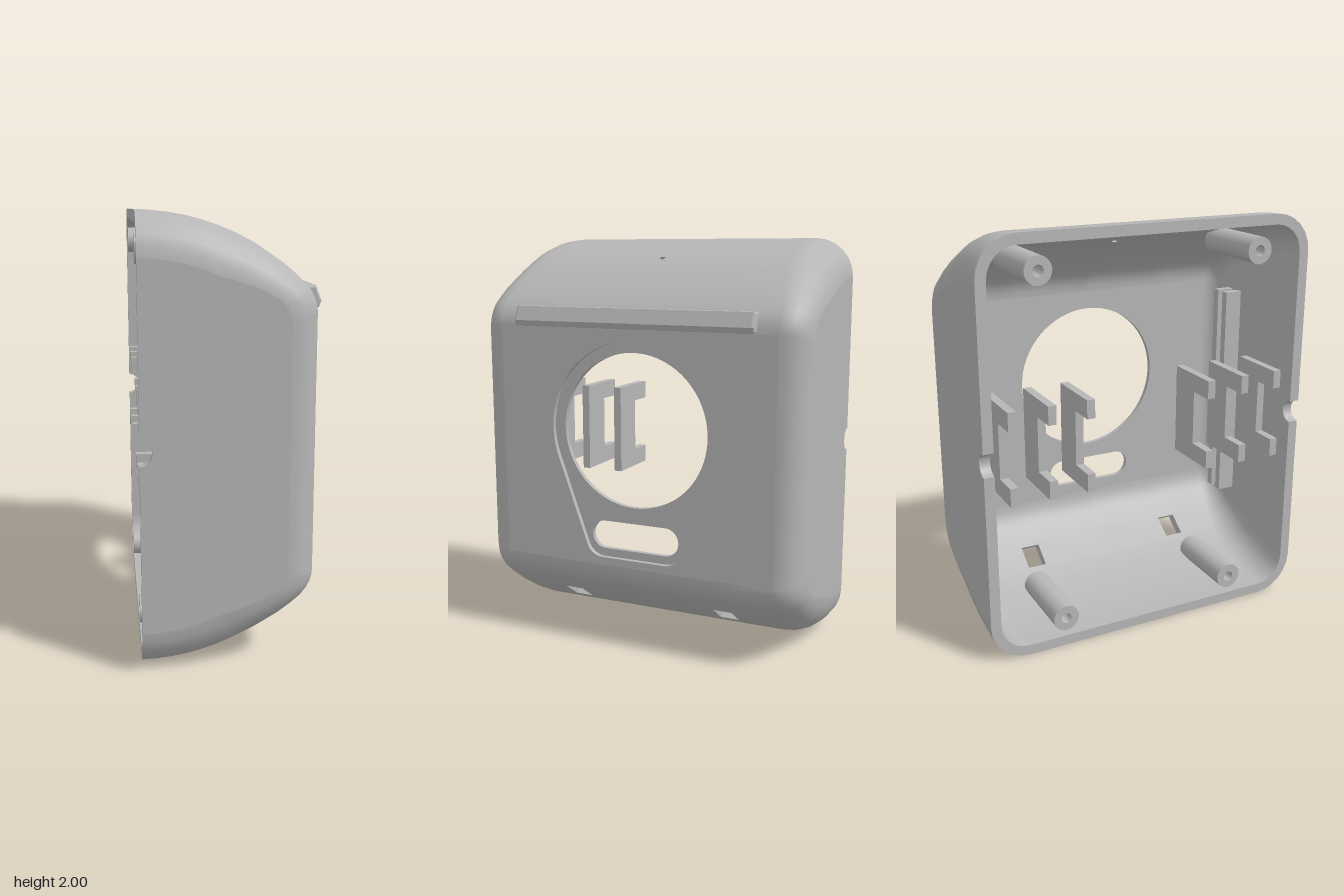
import * as THREE from 'three';
import { toCreasedNormals } from 'three/addons/utils/BufferGeometryUtils.js';

const WALL = 0.05, BACK = -0.41, FRONT = 0.36, HALF = 0.84, MID = 1;
const REACH = FRONT - BACK;

// Angles along the curved top and bottom; some rows line up with the openings
const ANGLES = [0, 0.07, 0.14, 0.21, 0.28, 0.35, 0.43, 0.459, 0.5, 0.546, 0.676, 0.745, 0.81];
const K = ANGLES.length, BEND = 4, ROWS = 2 * (K + BEND);
const FACE_ROW = K + BEND - 1, PIN_ROW = 6, VENT_ROW = ROWS - 1 - 10;

// Columns across the width: rounded edge, flat middle, rounded edge
const COLS = [];
for (let i = 6; i >= 0; i--) COLS.push({ side: -1, phi: i * Math.PI / 12 });
for (const z of [-0.46, -0.365, -0.014, 0.014, 0.365, 0.46]) COLS.push({ z, phi: 0 });
for (let i = 0; i <= 6; i++) COLS.push({ side: 1, phi: i * Math.PI / 12 });
const LAST = COLS.length - 1;

// Half of the outline, inset by d: arc, then a small bend into the flat face
function outline(k, d) {
  const rho = 1 - d, max = Math.asin((REACH - d) / rho), end = max - 0.07;
  const arc = a => [rho * Math.sin(a), rho * Math.cos(a)];
  if (k < K) return arc(ANGLES[k] / 0.81 * end);
  const s = (k - K + 1) / BEND, A = arc(end), C = arc(max), B = [C[0], C[1] - 0.06];
  return [0, 1].map(n => (1 - s) ** 2 * A[n] + 2 * s * (1 - s) * C[n] + s * s * B[n]);
}

// Point of the shell surface at row i, column j, at depth w below the outside
function point(i, j, w) {
  const top = i < ROWS / 2, k = top ? i : ROWS - 1 - i, c = COLS[j];
  const t = k < K ? ANGLES[k] / 0.81 : 1;
  const r = 0.19 - 0.06 * Math.max(0, (t - 0.6) / 0.4);
  const d = w + (r - w) * (1 - Math.cos(c.phi));
  const z = c.z ?? c.side * (HALF - r + (r - w) * Math.sin(c.phi));
  const [px, py] = outline(k, d);
  return [BACK + px, MID + (top ? py : -py), z];
}

const isVent = (i, j) => (i === PIN_ROW && j === 9) || (i === VENT_ROW && (j === 7 || j === 11));
const isOpen = (i, j) => isVent(i, j) || (i === FACE_ROW && j >= 6 && j <= 12);

function skin(w, inward) {
  const pos = [], index = [];
  for (let i = 0; i < ROWS; i++) for (let j = 0; j <= LAST; j++) pos.push(...point(i, j, w));
  for (let i = 0; i < ROWS - 1; i++) for (let j = 0; j < LAST; j++) {
    if (isOpen(i, j)) continue;
    const a = i * (LAST + 1) + j, b = a + 1, d = a + LAST + 1, c = d + 1;
    if (inward) index.push(a, c, b, a, d, c);
    else index.push(a, b, c, a, c, d);
  }
  const g = new THREE.BufferGeometry();
  g.setAttribute('position', new THREE.Float32BufferAttribute(pos, 3));
  g.setIndex(index);
  g.computeVertexNormals();
  return g;
}

// Rim at the open back and the walls inside the small openings
function edges() {
  const pos = [];
  const quad = (a, b, c, d) => pos.push(...a, ...b, ...c, ...a, ...c, ...d);
  for (let j = 0; j < LAST; j++) {
    const e = ROWS - 1;
    quad(point(0, j, 0), point(0, j, WALL), point(0, j + 1, WALL), point(0, j + 1, 0));
    quad(point(e, j, 0), point(e, j + 1, 0), point(e, j + 1, WALL), point(e, j, WALL));
  }
  for (let i = 0; i < ROWS - 1; i++) for (let j = 0; j < LAST; j++) {
    if (!isVent(i, j)) continue;
    const loop = [[i, j], [i, j + 1], [i + 1, j + 1], [i + 1, j]];
    loop.forEach((p, n) => {
      const q = loop[(n + 1) % 4];
      quad(point(...p, 0), point(...q, 0), point(...q, WALL), point(...p, WALL));
    });
  }
  const g = new THREE.BufferGeometry();
  g.setAttribute('position', new THREE.Float32BufferAttribute(pos, 3));
  g.computeVertexNormals();
  return g;
}

const polygon = pts => new THREE.Shape(pts.map(p => new THREE.Vector2(...p)));
const extrude = (shape, depth, extra = {}) =>
  new THREE.ExtrudeGeometry(shape, { depth, bevelEnabled: false, curveSegments: 40, ...extra });

// Flat face layer with cut-outs, its back at the given x
function faceLayer(holes, depth, x) {
  const y = 0.578, z = HALF - 0.13;
  const s = polygon([[-z, MID - y], [z, MID - y], [z, MID + y], [-z, MID + y]]);
  s.holes.push(...holes);
  return toCreasedNormals(extrude(s, depth).rotateY(Math.PI / 2).translate(x, 0, 0), 0.5);
}

export function createModel() {
  const group = new THREE.Group();
  const grey = new THREE.MeshStandardMaterial({ color: 0xb6b6b6, side: THREE.DoubleSide });
  grey.name = 'greyPlastic';
  const add = (name, geometry) => {
    const m = new THREE.Mesh(geometry, grey);
    m.name = name;
    group.add(m);
    return m;
  };

  // Curved shell
  add('outerShell', skin(0, false));
  add('innerShell', skin(WALL, true));
  add('shellEdges', edges());

  // Flat sides with a cable notch at the back
  const side = [];
  for (let i = 0; i < ROWS; i++) side.push(point(i, LAST, 0).slice(0, 2));
  const sideShape = polygon(side);
  sideShape.lineTo(BACK, MID - 0.055);
  sideShape.absarc(BACK, MID, 0.055, -Math.PI / 2, Math.PI / 2, false);
  sideShape.lineTo(...side[0]);
  for (const [name, z] of [['frontSide', HALF - WALL], ['backSide', -HALF]])
    add(name, toCreasedNormals(extrude(sideShape, WALL).translate(0, 0, z), 0.5));

  // Face: recess outline in the outer layer, round opening and slot in the inner one
  const a = 0.346, PI = Math.PI;
  const recess = new THREE.Path();
  recess.absarc(0, 1.095, 0.43, -a, PI + a, false);
  recess.absarc(-0.165, 0.55, 0.09, PI + a, 1.5 * PI, false);
  recess.absarc(0.165, 0.55, 0.09, 1.5 * PI, 2 * PI - a, false);
  recess.closePath();
  const round = new THREE.Path().absarc(0, 1.095, 0.375, 0, 2 * PI, false);
  const slot = new THREE.Path();
  slot.absarc(0.16, 0.57, 0.07, -PI / 2, PI / 2, false);
  slot.absarc(-0.16, 0.57, 0.07, PI / 2, 1.5 * PI, false);
  slot.closePath();
  add('faceOuterLayer', faceLayer([recess], WALL / 2, FRONT - WALL / 2));
  add('faceInnerLayer', faceLayer([round, slot], WALL / 2, FRONT - WALL));

  // Raised bar above the opening
  const bar = polygon([[0.34, 1.59], [0.385, 1.592], [0.392, 1.61], [0.37, 1.667], [0.34, 1.667]]);
  add('browBar', extrude(bar, 1.2, { bevelEnabled: true, bevelSize: 0.01, bevelThickness: 0.012, bevelSegments: 2 })
    .translate(0, 0, -0.6));

  // Screw posts
  const post = toCreasedNormals(new THREE.LatheGeometry(
    [[0, 0], [0.065, 0], [0.065, 0.38], [0.026, 0.38], [0.026, 0.2], [0, 0.2]]
      .map(p => new THREE.Vector2(...p)), 28).rotateZ(PI / 2), 0.6);
  // Clip plates with two arms reaching to the back
  const clip = extrude(polygon([[-0.11, 0.78], [-0.11, 1.23], [-0.41, 1.23], [-0.41, 1.14],
    [-0.28, 1.14], [-0.28, 0.87], [-0.41, 0.87], [-0.41, 0.78]]), 0.04).translate(0, 0, -0.02);
  const rib = new THREE.BoxGeometry(0.04, 1.13, 0.1);

  for (const s of [-1, 1]) {
    add('upperPost', post).position.set(-0.03, 1.835, s * 0.56);
    add('lowerPost', post).position.set(-0.03, 0.145, s * 0.46);
    for (const z of [0.32, 0.51, 0.7]) add('clipPlate', clip).position.z = s * z;
    for (const x of [0.09, 0.17]) add('guideRib', rib).position.set(x, 0.965, s * 0.75);
  }
  return group;
}
